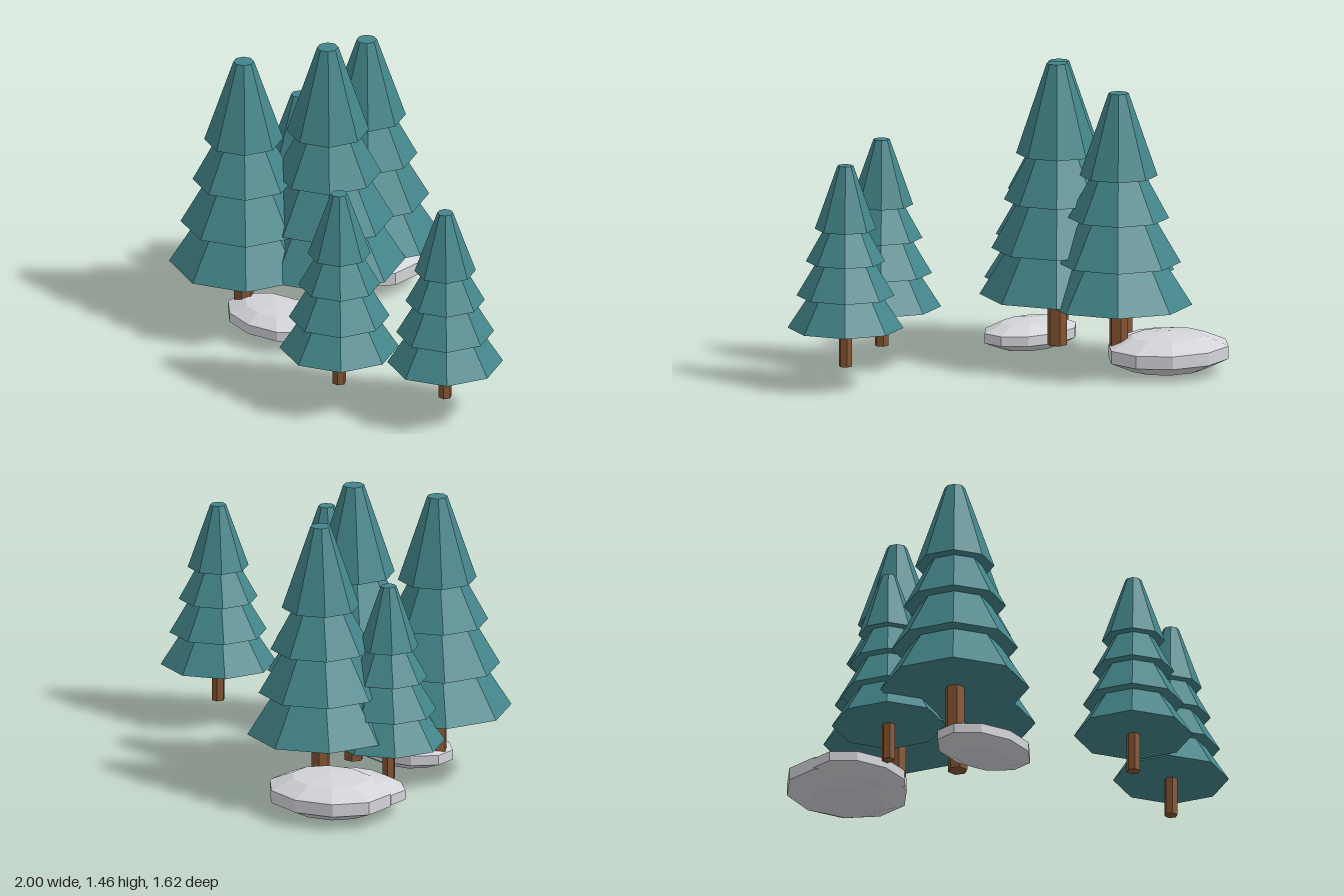
import * as THREE from 'three';

const foliage = new THREE.MeshStandardMaterial({ color: 0x43858a });
foliage.name = 'foliage teal';
const bark = new THREE.MeshStandardMaterial({ color: 0x835432 });
bark.name = 'bark brown';
const stone = new THREE.MeshStandardMaterial({ color: 0xd3d4d9 });
stone.name = 'stone grey';

// Faceted copy of a geometry
function faceted(geometry) {
  const flat = geometry.toNonIndexed();
  flat.computeVertexNormals();
  return flat;
}

function part(name, geometry, material) {
  const mesh = new THREE.Mesh(faceted(geometry), material);
  mesh.name = name;
  return mesh;
}

// Four-tier skirt profile as [radius, height] fractions, from base to tip
const TIERS = [
  [0, 0], [1, 0], [0.63, 0.2], [0.845, 0.2], [0.49, 0.41], [0.685, 0.41],
  [0.37, 0.61], [0.53, 0.61], [0.137, 1], [0, 1],
];
const GROUND = 0.1;

function createTree({ x, z, radius, base, top, trunk }) {
  const tree = new THREE.Group();
  tree.name = 'pineTree';
  const height = top - base;
  const profile = TIERS.map(([r, h]) => new THREE.Vector2(r * radius, base + h * height));
  tree.add(part('canopy', new THREE.LatheGeometry(profile, 8), foliage));

  // Six-sided trunk reaching just inside the canopy
  const length = base + 0.03 - GROUND;
  const trunkGeometry = new THREE.CylinderGeometry(trunk, trunk, length, 6);
  trunkGeometry.rotateY(Math.PI / 2).translate(0, GROUND + length / 2, 0);
  tree.add(part('trunk', trunkGeometry, bark));
  tree.position.set(x, 0, z);
  return tree;
}

// Flattened ten-sided boulder
function createRock({ x, y, z, size }) {
  const geometry = new THREE.SphereGeometry(1, 10, 5);
  geometry.rotateY(Math.PI / 2).scale(...size);
  const rock = part('rock', geometry, stone);
  rock.position.set(x, y, z);
  return rock;
}

export function createModel() {
  const model = new THREE.Group();
  model.name = 'pineGrove';

  const trees = [
    { x: -0.36, z: -0.04, radius: 0.37, base: 0.345, top: 1.465, trunk: 0.048 },
    { x: -0.43, z: -0.385, radius: 0.35, base: 0.335, top: 1.36, trunk: 0.046 },
    { x: -0.645, z: 0.24, radius: 0.355, base: 0.345, top: 1.395, trunk: 0.048 },
    { x: -0.68, z: -0.18, radius: 0.27, base: 0.283, top: 1.06, trunk: 0.032 },
    { x: 0.25, z: 0.53, radius: 0.283, base: 0.29, top: 1.1, trunk: 0.033 },
    { x: 0.72, z: 0.295, radius: 0.275, base: 0.287, top: 1.073, trunk: 0.032 },
  ];
  trees.forEach((tree) => model.add(createTree(tree)));

  // Large boulder, a smaller one merged into it, and one by the front trees
  const rocks = [
    { x: -0.61, y: 0.104, z: -0.54, size: [0.33, 0.1, 0.284] },
    { x: -0.66, y: 0.104, z: -0.4, size: [0.276, 0.077, 0.19] },
    { x: -0.45, y: 0.104, z: 0.235, size: [0.276, 0.077, 0.19] },
  ];
  rocks.forEach((rock) => model.add(createRock(rock)));
  return model;
}
